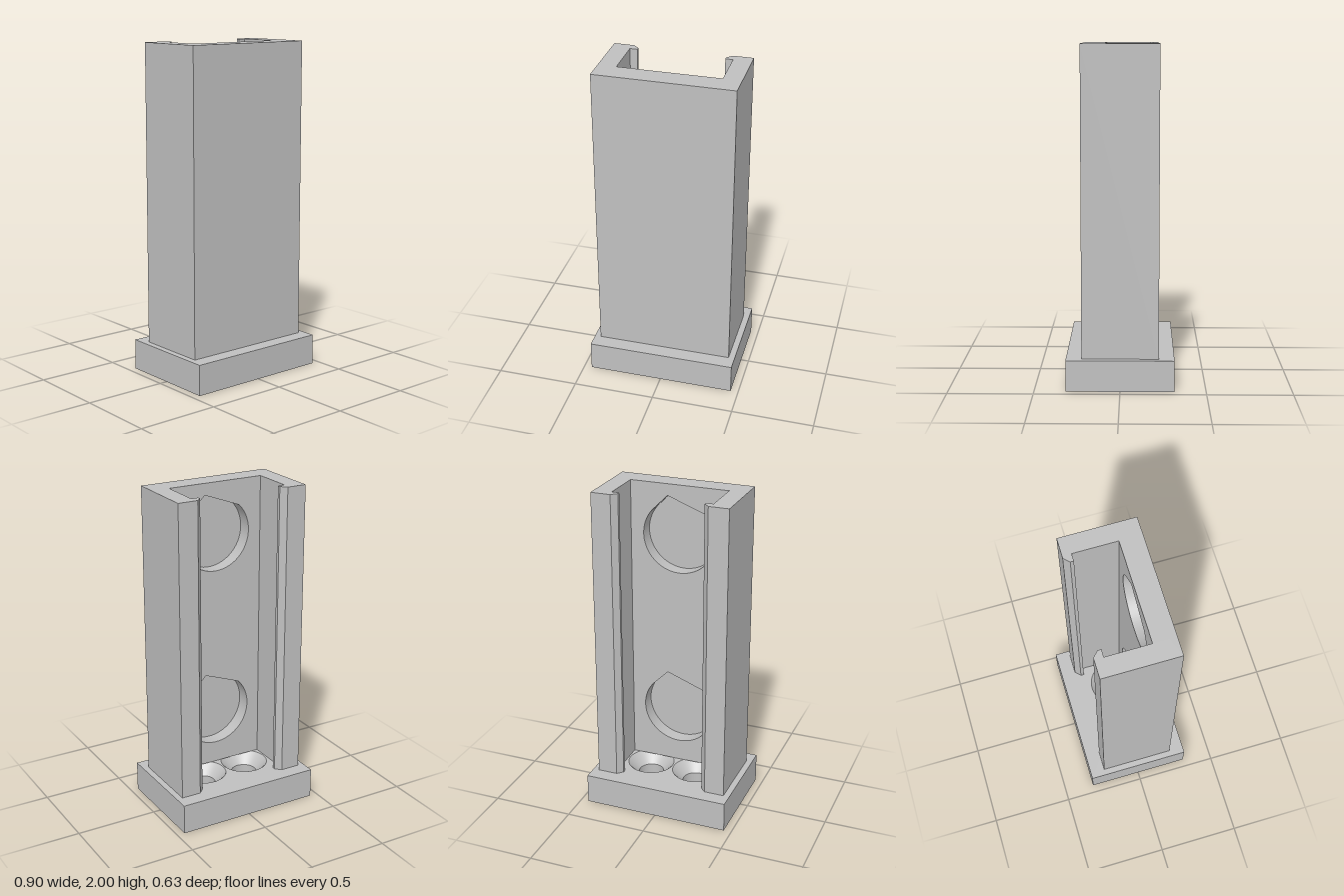
import * as THREE from 'three';

export function createModel() {
  const model = new THREE.Group();
  model.name = 'channelBracket';
  const grey = new THREE.MeshStandardMaterial({ color: 0xc0c0c0, side: THREE.DoubleSide });
  grey.name = 'light grey';

  const add = (name, geometry) => {
    const mesh = new THREE.Mesh(geometry, grey);
    mesh.name = name;
    model.add(mesh);
    return mesh;
  };
  const polygon = (pts) => new THREE.Shape(pts.map(([x, y]) => new THREE.Vector2(x, y)));
  const rectangle = (x0, y0, x1, y1) => polygon([[x0, y0], [x1, y0], [x1, y1], [x0, y1]]);
  const circle = (x, y, r) => new THREE.Path().absarc(x, y, r, 0, Math.PI * 2, false);
  const extrude = (shape, depth) =>
    new THREE.ExtrudeGeometry(shape, { depth, bevelEnabled: false, curveSegments: 48 });
  // Plan shapes are drawn as (x, -z) and raised from y0 to y1
  const raise = (shape, y0, y1) => extrude(shape, y1 - y0).rotateX(-Math.PI / 2).translate(0, y0, 0);

  const baseTop = 0.185, sinkFloor = 0.115;
  const screwX = 0.15, screwR = 0.078, sinkR = 0.145;

  // Base: lower layer with two screw holes and two blind pin holes
  const lower = rectangle(-0.4525, -0.316, 0.4525, 0.316);
  for (const s of [-1, 1]) {
    lower.holes.push(circle(s * screwX, 0, screwR));
    lower.holes.push(circle(s * 0.245, s * 0.2, 0.066));
  }
  add('baseLower', raise(lower, 0, sinkFloor));

  // Base: upper layer, opened for the countersinks
  const upper = rectangle(-0.4525, -0.316, 0.4525, 0.316);
  for (const s of [-1, 1]) upper.holes.push(circle(s * screwX, 0, sinkR));
  add('baseUpper', raise(upper, sinkFloor, baseTop));

  // Countersink cones
  for (const s of [-1, 1]) {
    const cone = new THREE.CylinderGeometry(sinkR, screwR, baseTop - sinkFloor, 64, 1, true);
    add('countersink', cone).position.set(s * screwX, (baseTop + sinkFloor) / 2, 0);
  }

  // Upright channel: outer skin, side walls and hooked lips along the open back
  const pocketFloor = 0.18, innerZ = 0.09;
  const half = [
    [0.305, -pocketFloor], [0.305, 0.172], [0.26, 0.172], [0.26, 0.192],
    [0.293, 0.225], [0.415, 0.225], [0.415, -0.225],
  ];
  const mirrored = half.map(([x, y]) => [-x, y]).reverse();
  add('channel', raise(polygon([...half, ...mirrored]), baseTop, 2));

  // Inner panel of the front wall with two flat-topped teardrop pockets
  const panel = rectangle(-0.305, baseTop, 0.305, 2);
  const r = 0.225, flatH = 0.246, flatW = r * Math.SQRT2 - flatH;
  for (const y of [0.545, 1.683]) {
    const pocket = new THREE.Path();
    pocket.moveTo(-flatW, y + flatH);
    pocket.absarc(0, y, r, Math.PI * 0.75, Math.PI * 2.25, false);
    pocket.lineTo(flatW, y + flatH);
    pocket.closePath();
    panel.holes.push(pocket);
  }
  add('frontWallPanel', extrude(panel, pocketFloor - innerZ).translate(0, 0, innerZ));

  return model;
}
